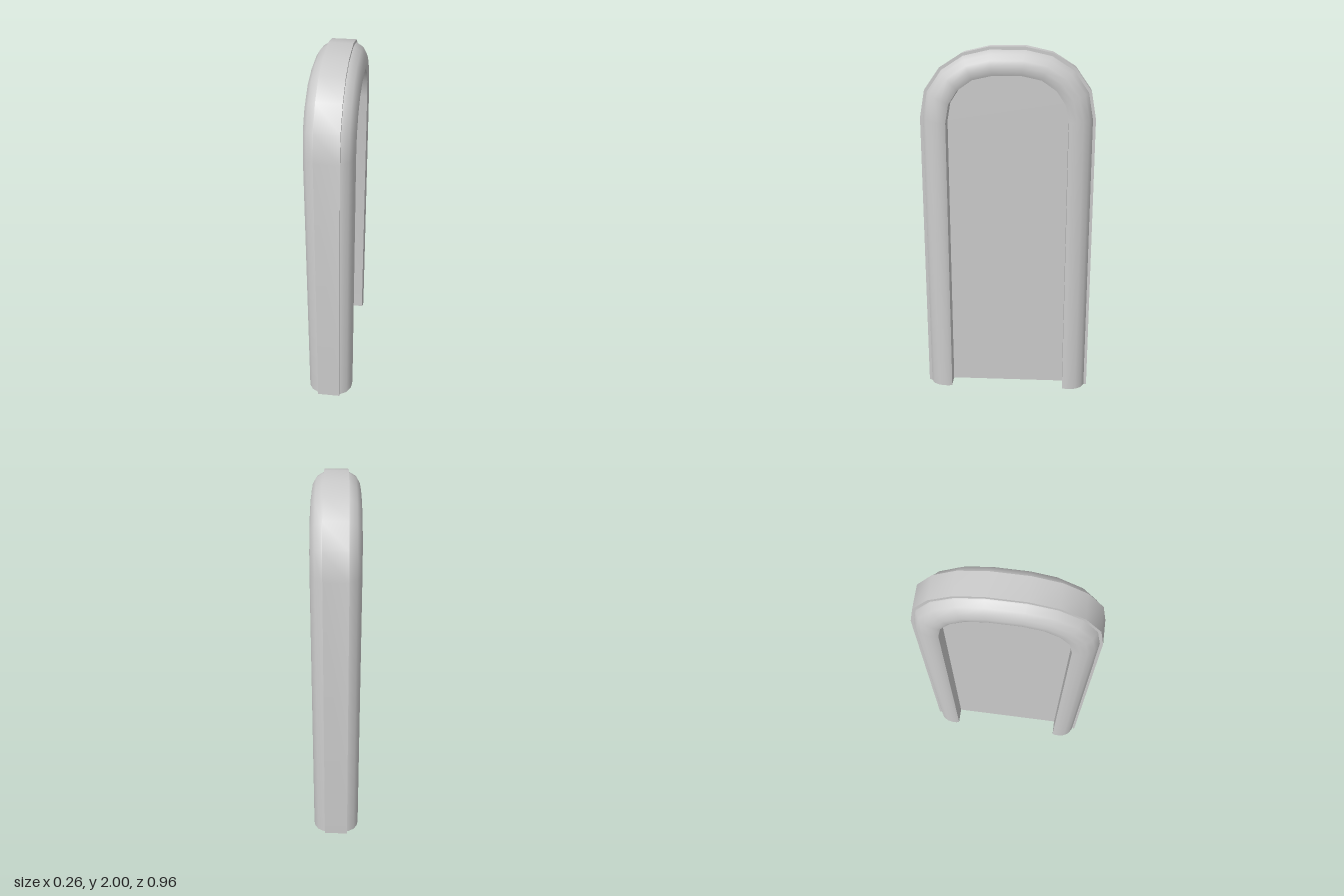
import * as THREE from 'three';
import { toCreasedNormals } from 'three/addons/utils/BufferGeometryUtils.js';

const material = new THREE.MeshStandardMaterial({ color: 0xcccccc });

// One half of the arch as [z, y]: outer rim and inner opening, matching station by station
const outerHalf = [[0.48, 0], [0.48, 1.62], [0.453, 1.77], [0.368, 1.89], [0.245, 1.967], [0.098, 2]];
const innerHalf = [[0.333, 0], [0.333, 1.6], [0.315, 1.7], [0.265, 1.775], [0.185, 1.83], [0.08, 1.853]];

const mirrorArch = half => [...half, ...half.map(([z, y]) => [-z, y]).reverse()];
const outer = mirrorArch(outerHalf);
const inner = mirrorArch(innerHalf);

// Half moulding section as [t, x]: t runs from the inner opening (0) to the rim (1)
const halfSection = [[0, 0.123], [0.12, 0.13], [0.3, 0.13], [0.53, 0.124], [0.75, 0.104],
  [0.88, 0.071], [0.89, 0.065], [1, 0.065]];
const section = [...halfSection, ...halfSection.map(([t, x]) => [t, -x]).reverse()];

// Sweep the section along the arch and close both feet
function frameGeometry() {
  const n = section.length;
  const last = outer.length - 1;
  const positions = [];
  const index = [];
  outer.forEach(([oz, oy], i) => {
    const [iz, iy] = inner[i];
    for (const [t, x] of section) positions.push(x, iy + (oy - iy) * t, iz + (oz - iz) * t);
  });
  const quad = (a, b, c, d) => index.push(a, b, c, a, c, d);
  for (let i = 0; i < last; i++) {
    for (let j = 0; j < n; j++) {
      const k = (j + 1) % n;
      quad(i * n + j, (i + 1) * n + j, (i + 1) * n + k, i * n + k);
    }
  }
  for (let j = 0; j < n / 2 - 1; j++) {
    const k = n - 1 - j;
    const e = last * n;
    quad(j, j + 1, k - 1, k);
    quad(e + k, e + k - 1, e + j + 1, e + j);
  }
  const geometry = new THREE.BufferGeometry();
  geometry.setAttribute('position', new THREE.Float32BufferAttribute(positions, 3));
  geometry.setIndex(index);
  return toCreasedNormals(geometry, 0.6);
}

// Thin recessed panel filling the opening
function panelGeometry() {
  const thickness = 0.066;
  const shape = new THREE.Shape(inner.map(([z, y]) => new THREE.Vector2(z, y)));
  const geometry = new THREE.ExtrudeGeometry(shape, { depth: thickness, bevelEnabled: false });
  geometry.translate(0, 0, -thickness / 2);
  geometry.rotateY(Math.PI / 2);
  return geometry;
}

export function createModel() {
  const model = new THREE.Group();
  model.name = 'archedPanel';
  const add = (name, geometry) => {
    const mesh = new THREE.Mesh(geometry, material);
    mesh.name = name;
    model.add(mesh);
  };
  add('archFrame', frameGeometry());
  add('recessedPanel', panelGeometry());
  return model;
}
